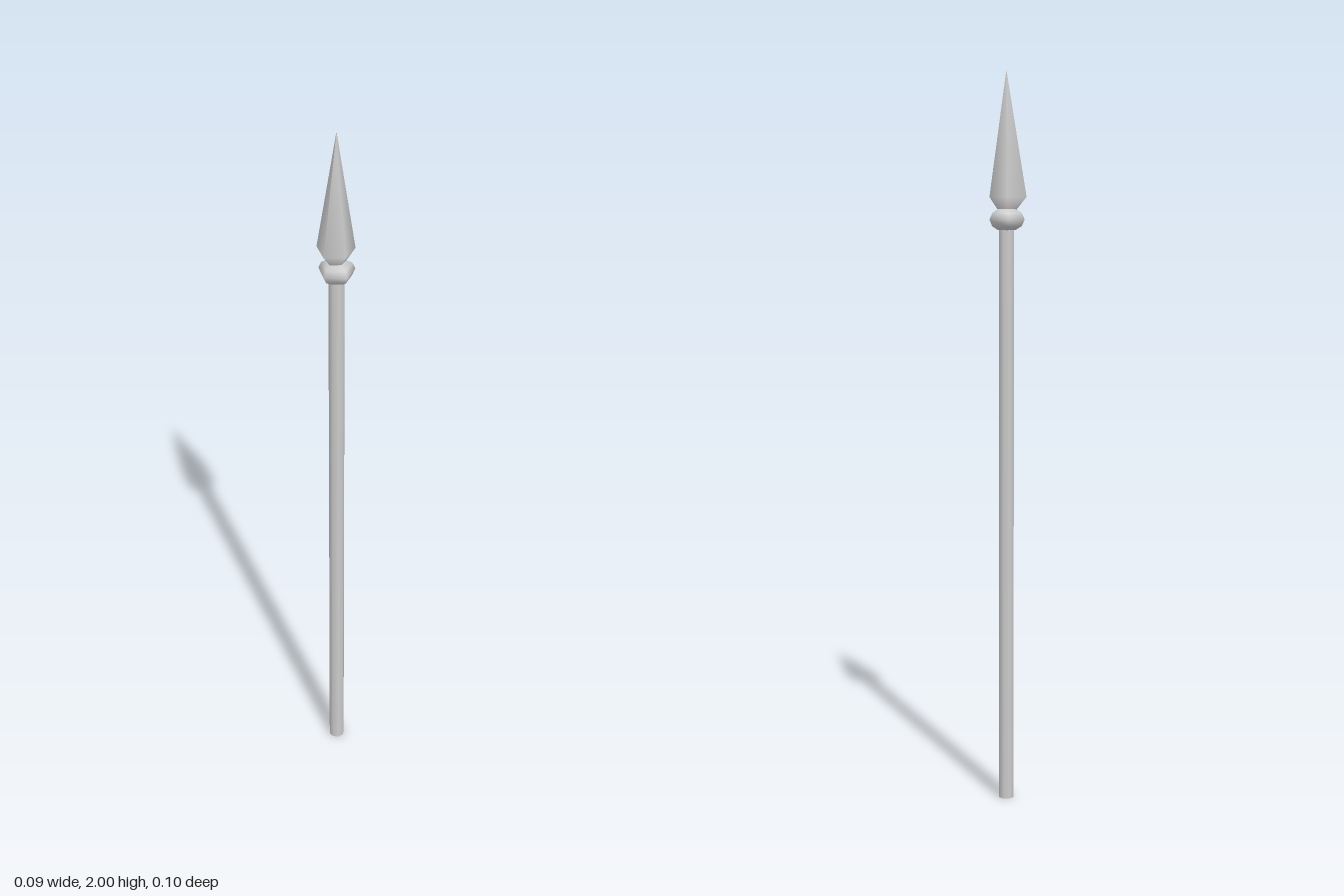
import * as THREE from 'three';

const AXIS_X = -0.004;

export function createModel() {
  const group = new THREE.Group();
  const material = new THREE.MeshStandardMaterial({ color: 0xcccccc });
  const add = (name, geometry) => {
    const mesh = new THREE.Mesh(geometry, material);
    mesh.name = name;
    mesh.position.x = AXIS_X;
    group.add(mesh);
  };

  // Long straight shaft, closed at the bottom
  const shaft = new THREE.CylinderGeometry(0.0215, 0.0215, 1.6, 8);
  shaft.translate(0, 0.8, 0);
  add('shaft', shaft);

  // Five-sided rounded collar, one corner towards +x
  const profile = [[0, 1.575], [0.026, 1.577], [0.042, 1.587], [0.05, 1.605],
    [0.042, 1.622], [0.026, 1.633], [0, 1.635]];
  add('collar', new THREE.LatheGeometry(
    profile.map(([r, y]) => new THREE.Vector2(r, y)), 5, Math.PI / 2));

  // Spearhead: slightly uneven five-sided section, scaled along its height
  const section = [[0.05, 0], [0.014, -0.035], [-0.044, -0.033], [-0.042, 0.029], [0.014, 0.042]];
  const levels = [[0.42, 1.625], [1, 1.665], [0, 2]];
  const n = section.length;
  const positions = [];
  const indices = [];
  for (const [scale, y] of levels) {
    for (const [x, z] of section) positions.push(x * scale, y, z * scale);
  }
  for (let k = 0; k < levels.length - 1; k++) {
    for (let i = 0; i < n; i++) {
      const a = k * n + i;
      const b = k * n + (i + 1) % n;
      indices.push(a, b, b + n);
      if (levels[k + 1][0] > 0) indices.push(a, b + n, a + n);
      else indices[indices.length - 1] = a + n;
    }
  }
  const head = new THREE.BufferGeometry();
  head.setAttribute('position', new THREE.Float32BufferAttribute(positions, 3));
  head.setIndex(indices);
  head.computeVertexNormals();
  add('spearhead', head);

  return group;
}
